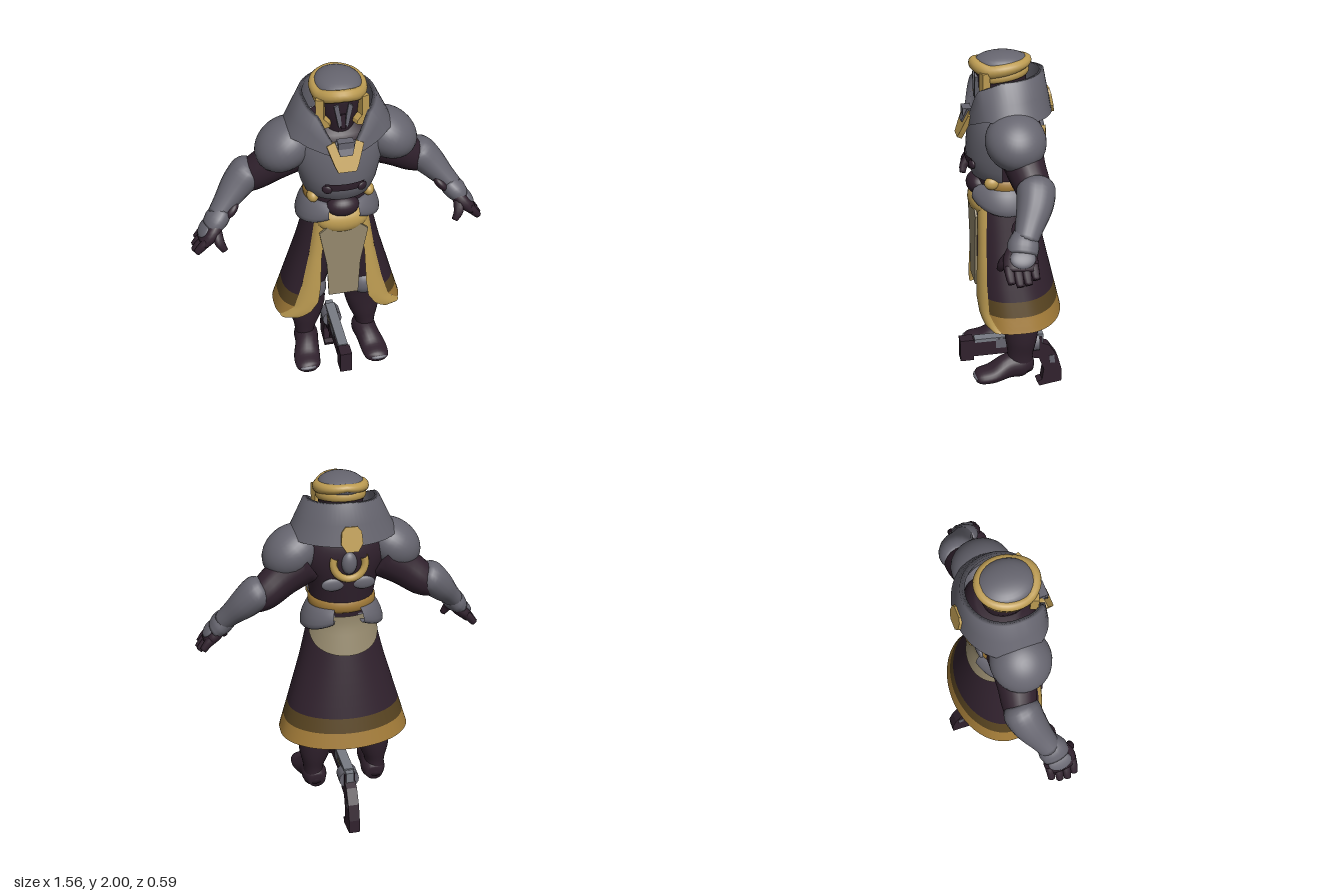
import * as THREE from 'three';
import { mergeVertices } from 'three/addons/utils/BufferGeometryUtils.js';

const mat = (name, color) => {
  const m = new THREE.MeshStandardMaterial({ color, side: THREE.DoubleSide });
  m.name = name;
  return m;
};
const grey = mat('armour grey', 0x66656f), purple = mat('dark purple', 0x30212d), gold = mat('gold', 0xbd9c52);
const bronze = mat('bronze', 0xa27b38), olive = mat('olive', 0x574320), beige = mat('beige', 0x95896d);
const steel = mat('steel', 0x787b84);
const TAU = Math.PI * 2, rad = Math.PI / 180;

function add(parent, name, geometry, material, pos = [0, 0, 0]) {
  const m = new THREE.Mesh(geometry, material);
  m.name = name;
  m.position.set(...pos);
  parent.add(m);
  return m;
}
// Linear lookup in a table of [key, value] with rising keys
function at(table, k) {
  let i = 1;
  while (i < table.length - 1 && k > table[i][0]) i++;
  const [a, b] = [table[i - 1], table[i]];
  return a[1] + (b[1] - a[1]) * THREE.MathUtils.clamp((k - a[0]) / (b[0] - a[0]), 0, 1);
}
// Degrees away from the front, for an angle round the body
const away = a => Math.acos(Math.cos(a)) / rad;
// Signed power, for boxier ovals
const pow = (x, p) => Math.sign(x) * Math.abs(x) ** p;
// Grid surface from a rule f(u, v) -> [x, y, z]
function surf(f, nu, nv) {
  const p = [], idx = [];
  for (let j = 0; j <= nv; j++) for (let i = 0; i <= nu; i++) p.push(...f(i / nu, j / nv));
  for (let j = 0; j < nv; j++) for (let i = 0; i < nu; i++) {
    const a = j * (nu + 1) + i, b = a + nu + 1;
    idx.push(a, a + 1, b, a + 1, b + 1, b);
  }
  let g = new THREE.BufferGeometry();
  g.setAttribute('position', new THREE.Float32BufferAttribute(p, 3));
  g.setIndex(idx);
  g = mergeVertices(g, 1e-5);
  g.computeVertexNormals();
  return g;
}
// Closed limb through points [x, y, z, radius toward up, radius sideways]
function limb(pts, nu = 18, up = [0, 0, 1]) {
  const c = new THREE.CatmullRomCurve3(pts.map(p => new THREE.Vector3(p[0], p[1], p[2])), false, 'catmullrom');
  const r = new THREE.CatmullRomCurve3(pts.map(p => new THREE.Vector3(p[3], p[4] ?? p[3], 0)), false, 'catmullrom');
  const n = (pts.length - 1) * 4, U = new THREE.Vector3(...up);
  return surf((u, v) => {
    const row = Math.round(v * (n + 2)), t = THREE.MathUtils.clamp((row - 1) / n, 0, 1);
    const k = row === 0 || row === n + 2 ? 0 : 1, a = u * TAU;
    const tan = c.getTangent(t), n1 = U.clone().addScaledVector(tan, -U.dot(tan)).normalize();
    const b = tan.clone().cross(n1), s = r.getPoint(t);
    return c.getPoint(t).addScaledVector(n1, Math.cos(a) * s.x * k).addScaledVector(b, Math.sin(a) * s.y * k).toArray();
  }, nu, n + 2);
}
const ball = (r, w = 24, h = 16) => new THREE.SphereGeometry(1, w, h).scale(...r);
// Shell around the body from rows [y, rx, zFront, zBack] between two angles (0 = front)
function shell(rows, a0, a1, nu = 24) {
  return surf((u, v) => {
    const [y, rx, zf, zb] = rows[Math.round(v * (rows.length - 1))], a = a0 + (a1 - a0) * u;
    return [rx * Math.sin(a), y, (zf + zb) / 2 + (zf - zb) / 2 * Math.cos(a)];
  }, nu, rows.length - 1);
}
// Padded hoop around the body, height and level given by angle
function hoop(rx, rz, cz, thick, height, level, a0 = 0, a1 = TAU, flare = 0) {
  return surf((u, v) => {
    const a = a0 + (a1 - a0) * u, f = v * TAU, dy = height(a) * Math.sin(f);
    const d = -thick * Math.cos(f) + dy * flare;
    return [(rx + d) * Math.sin(a), level(a) - dy, cz + (rz + d) * Math.cos(a)];
  }, 40, 12);
}
function plate(pts, depth) {
  return new THREE.ExtrudeGeometry(new THREE.Shape(pts.map(p => new THREE.Vector2(...p))), { depth, bevelEnabled: false }).translate(0, 0, -depth / 2);
}
const mirrorPts = half => [...half, ...half.slice().reverse().map(([x, y]) => [-x, y])];

// Coat skirt: a flaring oval, open at the front and boxier there toward the hem
const skirtRx = y => at([[0.565, 0.355], [1.0, 0.226], [1.23, 0.17]], y);
function skirt(a, y, off = 0) {
  const zf = at([[0.565, 0.232], [1.23, 0.212]], y), zb = at([[0.565, -0.27], [1.23, -0.11]], y);
  const c = Math.cos(a), p = c > 0 ? at([[0.565, 0.6], [1.23, 0.85]], y) : 1;
  return [(skirtRx(y) + off) * Math.sin(a), y, (zf + zb) / 2 + ((zf - zb) / 2 + off) * pow(c, p)];
}
const edgeIn = y => Math.asin(at([[0.565, 0.3], [0.585, 0.235], [0.63, 0.18], [0.7, 0.138], [0.8, 0.125], [1.0, 0.115], [1.23, 0.085]], y) / skirtRx(y));
const edgeOut = y => Math.asin(at([[0.565, 0.335], [0.65, 0.262], [0.8, 0.218], [1.0, 0.176], [1.23, 0.14]], y) / skirtRx(y));

function buildCoat(g) {
  for (const [name, m, y0, y1, n] of [['coatSkirt', purple, 0.73, 1.23, 8], ['coatBand', olive, 0.65, 0.73, 3], ['coatHem', bronze, 0.565, 0.65, 4]])
    add(g, name, surf((u, v) => {
      const y = y0 + (y1 - y0) * v, e = edgeOut(y);
      return skirt(e + (TAU - 2 * e) * u, y);
    }, 48, n), m);
  for (const s of [1, -1])
    add(g, 'coatFrontTrim', surf((u, v) => {
      const y = 0.565 + 0.665 * v, a = edgeIn(y), b = edgeOut(y);
      return skirt(s > 0 ? a + (b - a) * u : -b + (b - a) * u, y, 0.008 * Math.sin(u * Math.PI));
    }, 8, 40), gold);
  add(g, 'backApron', surf((u, v) => {
    const s = u * 2 - 1, y = 1.28 - (0.05 + 0.16 * (1 - s * s) ** 0.6) * (1 - v);
    return skirt(Math.PI + s * 1.45, y, 0.008);
  }, 28, 6), beige);
  add(g, 'tabard', plate(mirrorPts([[0.08, 0.74], [0.09, 0.95], [0.128, 1.16], [0.08, 1.2]]), 0.012), beige, [0, 0, 0.205]);
}

function buildTorso(g) {
  add(g, 'torso', limb([[0, 1.1, 0.04, 0.12, 0.14], [0, 1.28, 0.04, 0.14, 0.16], [0, 1.45, 0.035, 0.165, 0.185], [0, 1.6, 0.02, 0.17, 0.235], [0, 1.7, 0.01, 0.15, 0.2], [0, 1.76, 0.01, 0.1, 0.12]], 32), purple);
  add(g, 'chestPlate', shell([[1.345, 0.16, 0.18, -0.1], [1.36, 0.174, 0.205, -0.11], [1.42, 0.198, 0.228, -0.13], [1.48, 0.212, 0.235, -0.14], [1.56, 0.235, 0.23, -0.15], [1.64, 0.235, 0.22, -0.15], [1.7, 0.2, 0.205, -0.13]], -80 * rad, 80 * rad), grey);
  add(g, 'chestSlot', shell([[1.432, 0.204, 0.236, -0.13], [1.45, 0.208, 0.24, -0.135], [1.475, 0.213, 0.242, -0.14]], -28 * rad, 28 * rad), purple);
  for (const s of [1, -1]) {
    add(g, 'slotEnd', ball([0.026, 0.024, 0.012]), purple, [s * 0.09, 1.44, 0.219]).rotation.y = s * 0.45;
    add(g, 'backPatch', ball([0.06, 0.035, 0.015]), grey, [s * 0.08, 1.47, -0.125]);
    add(g, 'hipPad', hoop(0.185, 0.165, 0.04, 0.026, a => 0.012 + 0.06 * Math.abs(Math.sin(a)) ** 0.8, a => 1.3 - 0.045 * Math.abs(Math.sin(a)),
      s > 0 ? 22 * rad : -158 * rad, s > 0 ? 158 * rad : -22 * rad, 0.38), grey);
    add(g, 'beltPouch', ball([0.03, 0.034, 0.04]), gold, [s * 0.145, 1.35, 0.125]);
  }
  add(g, 'belt', hoop(0.16, 0.14, 0.04, 0.02, () => 0.038, () => 1.33, 50 * rad, 310 * rad), bronze);
  add(g, 'buckle', ball([0.135, 0.078, 0.065]), gold, [0, 1.215, 0.165]);
  add(g, 'waistPad', ball([0.085, 0.058, 0.06]), purple, [0, 1.305, 0.178]);
  // Back emblem: open ring and six-sided plate
  const ring = add(g, 'backRing', new THREE.TorusGeometry(0.082, 0.02, 8, 24, 1.25 * Math.PI), gold, [0, 1.59, -0.148]);
  ring.rotation.set(0.05, 0, -1.125 * Math.PI);
  add(g, 'backCore', ball([0.04, 0.06, 0.03]), grey, [0, 1.59, -0.145]);
  add(g, 'backPlate', plate(mirrorPts([[0.03, -0.06], [0.055, -0.02], [0.05, 0.04], [0.03, 0.065]]), 0.016), gold, [0, 1.735, -0.2]).rotation.x = 0.2;
}

function buildCollar(g) {
  const topY = [[0, 1.665], [14, 1.69], [27, 1.76], [40, 1.835], [80, 1.885], [180, 1.91]];
  const lowY = [[0, 1.62], [25, 1.67], [50, 1.71], [180, 1.7]];
  add(g, 'collar', surf((u, v) => {
    const a = u * TAU, d = away(a), k = Math.round(v * 4);
    const t = [0, 0.5, 1, 1, 0][k], s = [1, 1, 1, 0.88, 0.8][k];
    const rx = 0.28 - 0.09 * t, zf = 0.235 - 0.003 * t, zb = -0.205 + 0.04 * t;
    const p = d < 90 ? 0.85 : 1;
    return [rx * s * pow(Math.sin(a), p), at(lowY, d) + (at(topY, d) - at(lowY, d)) * t, (zf + zb) / 2 + (zf - zb) / 2 * s * pow(Math.cos(a), p)];
  }, 60, 4), grey);
  const clasp = add(g, 'claspPlate', plate(mirrorPts([[0.045, -0.075], [0.06, -0.04], [0.092, 0.06], [0.06, 0.075]]), 0.026), gold, [0, 1.64, 0.244]);
  clasp.rotation.x = -0.4;
  add(clasp, 'claspInset', plate(mirrorPts([[0.03, 0.005], [0.052, 0.08]]), 0.014), grey, [0, 0, 0.014]);
  add(g, 'chinGuard', new THREE.BoxGeometry(0.08, 0.035, 0.045), grey, [0, 1.705, 0.23]);
}

function buildHead(g) {
  add(g, 'head', limb([[0, 1.66, 0.03, 0.08, 0.08], [0, 1.74, 0.045, 0.105, 0.085], [0, 1.83, 0.05, 0.125, 0.11], [0, 1.93, 0.055, 0.135, 0.118]], 28), purple);
  add(g, 'helmetDome', ball([0.118, 0.055, 0.142], 28, 16), grey, [0, 1.945, 0.046]);
  const brow = [[0, 1.944], [20, 1.94], [60, 1.92], [120, 1.942], [180, 1.958]];
  const browHeight = [[0, 0.03], [45, 0.034], [100, 0.03], [180, 0.02]];
  add(g, 'browBand', hoop(0.115, 0.132, 0.055, 0.027, a => at(browHeight, away(a)), a => at(brow, away(a))), gold);
  add(g, 'napeBand', hoop(0.116, 0.132, 0.053, 0.012, () => 0.022, a => 1.893 - 0.018 * Math.cos(a), 50 * rad, 310 * rad), gold);
  for (const s of [1, -1]) {
    const cheek = add(g, 'cheekFrame', plate([[-0.005, 0.13], [0.035, 0.13], [0.035, 0.03], [0.005, -0.025], [-0.035, -0.012], [-0.03, 0.008], [-0.005, 0.03]].map(([x, y]) => [x * s, y]), 0.04), gold, [s * 0.092, 1.79, 0.155]);
    cheek.rotation.y = s * 0.35;
    add(g, 'maskHalf', plate([[0.01, 0], [0.022, -0.02], [0.03, 0.02], [0.046, 0.1], [0.025, 0.115], [0.014, 0.05]].map(([x, y]) => [x * s, y]), 0.03), grey, [0, 1.785, 0.174]);
  }
  add(g, 'maskRidge', new THREE.BoxGeometry(0.022, 0.08, 0.03), purple, [0, 1.8, 0.17]);
}

function buildSide() {
  const g = new THREE.Group();
  // Arm
  add(g, 'shoulderGuard', ball([0.162, 0.125, 0.152], 28, 20), grey, [0.264, 1.615, 0.025]).rotation.z = -0.6;
  add(g, 'upperArm', limb([[0.2, 1.57, 0, 0.12], [0.32, 1.49, -0.015, 0.1], [0.42, 1.415, -0.035, 0.086], [0.5, 1.37, -0.03, 0.06]]), purple);
  add(g, 'forearm', limb([[0.412, 1.465, -0.045, 0.06, 0.052], [0.448, 1.437, -0.04, 0.094, 0.084], [0.51, 1.375, -0.02, 0.09, 0.08], [0.58, 1.3, 0.02, 0.07, 0.06], [0.63, 1.245, 0.05, 0.058, 0.05]]), grey);
  add(g, 'forearmPatch', ball([0.06, 0.028, 0.048]), purple, [0.562, 1.272, 0.055]).rotation.z = -0.8;
  add(g, 'cuff', limb([[0.595, 1.27, 0.04, 0.06, 0.05], [0.635, 1.23, 0.06, 0.077, 0.058], [0.67, 1.195, 0.07, 0.07, 0.045]]), grey);
  add(g, 'hand', limb([[0.62, 1.24, 0.06, 0.055, 0.04], [0.67, 1.18, 0.08, 0.084, 0.044], [0.715, 1.13, 0.085, 0.082, 0.032]]), purple);
  add(g, 'handGuard', ball([0.05, 0.016, 0.062]), grey, [0.702, 1.196, 0.075]).rotation.z = -0.85;
  for (let i = 0; i < 4; i++) {
    const z = 0.022 + i * 0.04, d = [0.02, 0.004, 0, 0.012][i];
    add(g, 'finger', limb([[0.695, 1.155, z, 0.023], [0.735 - d, 1.115 + d, z, 0.023], [0.765 - d, 1.08 + d, z - 0.004, 0.018]], 10), purple);
  }
  add(g, 'thumb', limb([[0.645, 1.2, 0.11, 0.03], [0.635, 1.15, 0.155, 0.026], [0.612, 1.105, 0.17, 0.017]], 10), purple);
  // Leg
  add(g, 'leg', limb([[0.175, 0.24, -0.02, 0.07, 0.058], [0.178, 0.33, -0.02, 0.07, 0.056], [0.17, 0.43, -0.025, 0.088, 0.085], [0.157, 0.54, -0.025, 0.098, 0.1], [0.15, 0.66, 0, 0.09, 0.085], [0.13, 0.85, 0.015, 0.105, 0.1], [0.09, 1.1, 0.03, 0.11, 0.09]], 22), purple);
  add(g, 'kneeGuard', ball([0.086, 0.082, 0.075]), grey, [0.15, 0.685, 0.055]);
  const boot = limb([[0.165, 0.255, -0.085, 0.045, 0.045], [0.17, 0.265, -0.03, 0.075, 0.068], [0.178, 0.262, 0.05, 0.07, 0.066], [0.195, 0.235, 0.14, 0.047, 0.074], [0.2, 0.228, 0.21, 0.038, 0.066], [0.2, 0.222, 0.237, 0.02, 0.04]], 20, [0, 1, 0]);
  const p = boot.attributes.position;
  for (let i = 0; i < p.count; i++) p.setY(i, Math.max(0.2, p.getY(i)));
  boot.computeVertexNormals();
  add(g, 'boot', boot, purple);
  add(g, 'toeCap', ball([0.045, 0.014, 0.018]), grey, [0.205, 0.235, 0.23]);
  return g;
}

function buildPistol() {
  const g = new THREE.Group();
  g.name = 'pistol';
  const box = (name, m, w, h, d, y, z) => add(g, name, new THREE.BoxGeometry(w, h, d), m, [0, y, z]);
  box('muzzle', purple, 0.066, 0.13, 0.075, 0.29, 0.255);
  box('barrel', purple, 0.052, 0.1, 0.34, 0.295, 0.06);
  box('barrelTop', steel, 0.054, 0.02, 0.36, 0.343, 0.03);
  box('barrelSide', grey, 0.058, 0.06, 0.2, 0.315, -0.01);
  box('receiver', purple, 0.06, 0.11, 0.13, 0.275, -0.11);
  box('rearSight', steel, 0.045, 0.06, 0.04, 0.315, -0.165);
  box('sideInlay', beige, 0.062, 0.02, 0.1, 0.318, -0.04);
  add(g, 'drum', new THREE.CylinderGeometry(0.056, 0.056, 0.08, 16).rotateX(Math.PI / 2), grey, [0, 0.29, -0.12]);
  // Profiles are drawn in z and y
  const side = (name, m, w, pts) => { add(g, name, plate(pts, w), m).rotation.y = -Math.PI / 2; };
  side('grip', purple, 0.06, [[-0.1, 0.25], [-0.1, 0.2], [-0.16, 0.19], [-0.19, 0.11], [-0.18, 0.04], [-0.15, 0.03], [-0.165, 0.0], [-0.295, 0.02], [-0.295, 0.1], [-0.27, 0.19], [-0.22, 0.27], [-0.15, 0.3]]);
  side('gripInlay', grey, 0.064, [[-0.22, 0.2], [-0.225, 0.15], [-0.255, 0.15], [-0.25, 0.2]]);
  side('trigger', purple, 0.025, [[-0.04, 0.22], [-0.08, 0.16], [-0.105, 0.11], [-0.115, 0.12], [-0.1, 0.22]]);
  return g;
}

export function createModel() {
  const g = new THREE.Group();
  g.name = 'armouredFigure';
  for (const build of [buildCoat, buildTorso, buildCollar, buildHead]) build(g);
  const left = buildSide(), right = left.clone();
  left.name = 'leftLimbs';
  right.name = 'rightLimbs';
  right.scale.x = -1;
  g.add(left, right, buildPistol());
  return g;
}
